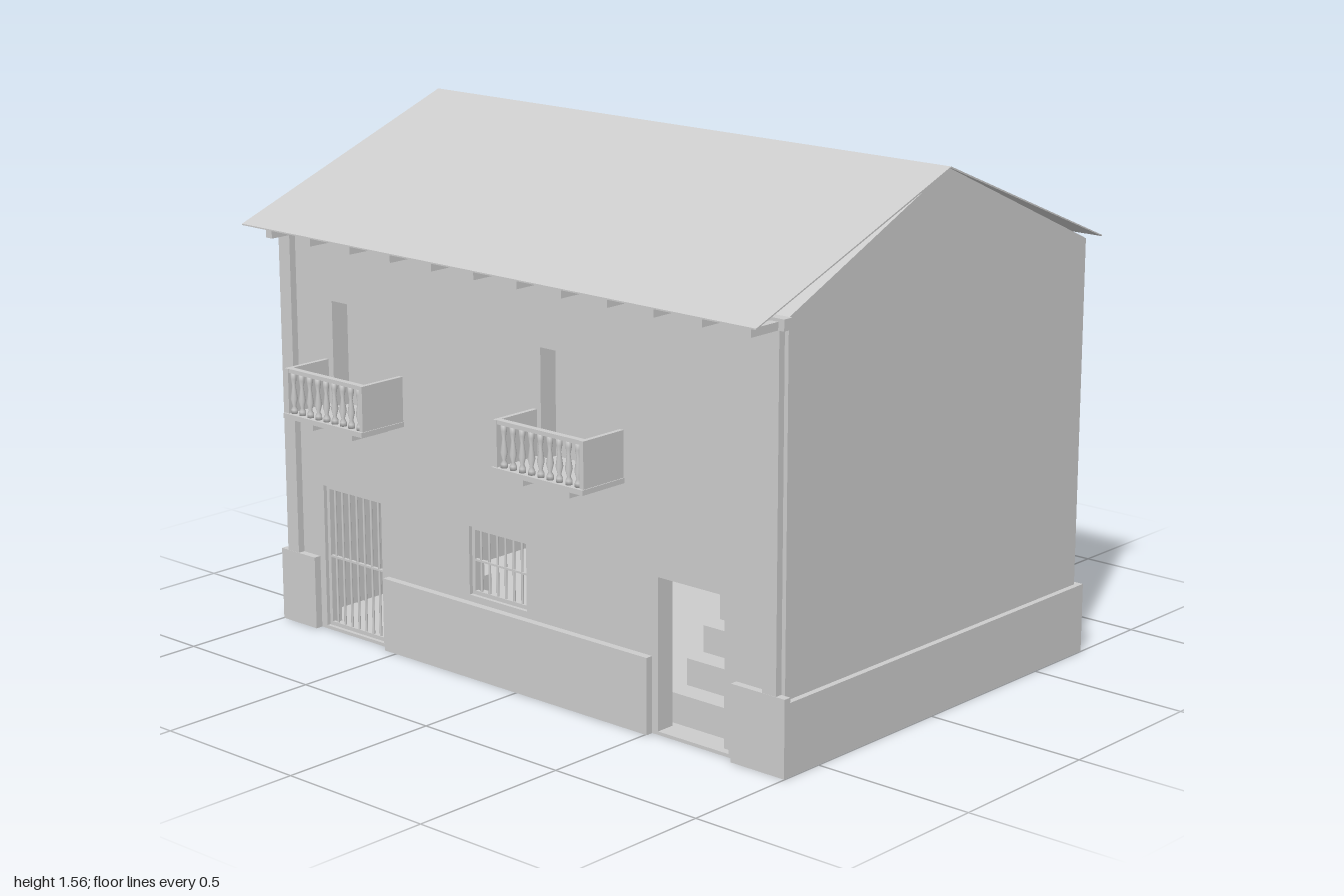
import * as THREE from 'three';

export function createModel() {
  const plaster = new THREE.MeshStandardMaterial({ color: 0xcccccc });
  plaster.name = 'light grey plaster';
  const house = new THREE.Group();
  house.name = 'house';

  const add = (name, geometry, parent = house) => {
    const mesh = new THREE.Mesh(geometry, plaster);
    mesh.name = name;
    parent.add(mesh);
    return mesh;
  };
  // Box given by its limits on each axis
  const box = (name, x0, x1, y0, y1, z0, z1, parent) => {
    const g = new THREE.BoxGeometry(x1 - x0, y1 - y0, z1 - z0);
    g.translate((x0 + x1) / 2, (y0 + y1) / 2, (z0 + z1) / 2);
    return add(name, g, parent);
  };
  const group = (name) => {
    const g = new THREE.Group();
    g.name = name;
    house.add(g);
    return g;
  };
  // Extrude a (z, y) profile along x
  const alongX = (name, profile, x0, x1) => {
    const shape = new THREE.Shape(profile.map(([z, y]) => new THREE.Vector2(-z, y)));
    const g = new THREE.ExtrudeGeometry(shape, { depth: x1 - x0, bevelEnabled: false });
    g.rotateY(Math.PI / 2);
    g.translate(x0, 0, 0);
    return add(name, g);
  };

  // Front wall with its five openings
  const openings = {
    leftDoor: [-0.826, -0.575, 0.01, 0.453],
    window: [-0.206, 0.024, 0.245, 0.453],
    stairDoor: [0.527, 0.783, 0.01, 0.457],
    balconyDoorA: [-0.767, -0.505, 0.705, 1.03],
    balconyDoorB: [0.088, 0.372, 0.705, 1.03],
  };
  const rectangle = (Type, x0, x1, y0, y1) => new Type([
    new THREE.Vector2(x0, y0), new THREE.Vector2(x1, y0),
    new THREE.Vector2(x1, y1), new THREE.Vector2(x0, y1),
  ]);
  const wallShape = rectangle(THREE.Shape, -0.92, 0.92, 0, 1.255);
  for (const o of Object.values(openings)) wallShape.holes.push(rectangle(THREE.Path, ...o));
  const wall = new THREE.ExtrudeGeometry(wallShape, { depth: 0.06, bevelEnabled: false });
  wall.translate(0, 0, 0.56);
  add('frontWall', wall);

  // Gable walls, back wall and floor
  const gable = [[0.62, 0], [0.62, 1.255], [-0.05, 1.553], [-0.715, 1.255], [-0.715, 0]];
  alongX('gableWallRight', gable, -0.98, -0.92);
  alongX('gableWallLeft', gable, 0.92, 0.98);
  box('backWall', -0.92, 0.92, 0, 1.255, -0.715, -0.655);
  box('floor', -0.92, 0.92, 0.004, 0.01, -0.655, 0.56);

  // Thin folded roof, overhanging front and back
  alongX('roof', [[0.76, 1.252], [-0.05, 1.557], [-0.785, 1.255],
    [-0.785, 1.251], [-0.05, 1.552], [0.76, 1.248]], -0.995, 0.988);

  // Plinth
  const plinth = group('plinth');
  for (const [a, b] of [[-0.998, -0.85], [-0.548, 0.505], [0.81, 0.998]])
    box('frontPlinth', a, b, 0, 0.225, 0.62, 0.643, plinth);
  for (const s of [-1, 1])
    box('sidePlinth', s < 0 ? -0.998 : 0.98, s < 0 ? -0.98 : 0.998, 0, 0.21, -0.735, 0.62, plinth);
  box('backPlinth', -0.98, 0.98, 0, 0.21, -0.735, -0.715, plinth);

  // Corner pilasters, cornice and eave rafters
  box('pilasterRight', -0.97, -0.922, 0.225, 1.225, 0.62, 0.642);
  box('pilasterLeft', 0.919, 0.967, 0.225, 1.225, 0.62, 0.642);
  box('cornice', -0.99, 0.988, 1.224, 1.256, 0.615, 0.648);
  const rafters = group('rafters');
  for (let i = 0; i < 12; i++) {
    const x = -0.882 + i * 0.167;
    box('rafter', x - 0.013, x + 0.013, 1.224, 1.247, 0.648, 0.755, rafters);
  }

  // Balconies with turned balusters and closed sides
  const baluster = new THREE.LatheGeometry([
    [0, 0], [0.01, 0], [0.01, 0.012], [0.005, 0.022], [0.011, 0.045],
    [0.005, 0.085], [0.009, 0.105], [0.009, 0.125], [0, 0.125],
  ].map(([r, y]) => new THREE.Vector2(r, y)), 10);
  const balcony = (x0, x1, door, brackets) => {
    const g = group('balcony');
    box('balconySlab', x0, x1, 0.7, 0.715, 0.62, 0.787, g);
    for (const x of [x0 + 0.003, x1 - 0.017])
      box('sidePanel', x, x + 0.014, 0.715, 0.85, 0.62, 0.78, g);
    box('handrail', x0 + 0.017, x1 - 0.017, 0.838, 0.85, 0.758, 0.778, g);
    for (let i = 0; i < 9; i++) {
      const mid = (x0 + x1) / 2;
      add('baluster', baluster, g).position.set(mid + (i - 4) * 0.0352, 0.715, 0.768);
    }
    for (const x of brackets)
      box('bracket', x - 0.011, x + 0.011, 0.672, 0.7, 0.62, 0.76, g);
    box('closedDoor', door[0], door[1], door[2], door[3], 0.55, 0.56, g);
  };
  balcony(-0.805, -0.468, openings.balconyDoorA, [-0.719, -0.551]);
  balcony(0.056, 0.404, openings.balconyDoorB, [0.142, 0.318]);

  // Barred grilles in the left door and the window
  const grille = (name, [x0, x1, y0, y1], count, railY) => {
    const g = group(name);
    const z0 = 0.598, z1 = 0.608, f = 0.012;
    box('frame', x0, x0 + f, y0, y1, z0, z1, g);
    box('frame', x1 - f, x1, y0, y1, z0, z1, g);
    box('frame', x0 + f, x1 - f, y0, y0 + f, z0, z1, g);
    box('frame', x0 + f, x1 - f, y1 - f, y1, z0, z1, g);
    box('crossBar', x0 + f, x1 - f, railY - 0.003, railY + 0.003, z0, z1, g);
    const rod = new THREE.CylinderGeometry(0.004, 0.004, y1 - y0, 8);
    for (let i = 1; i <= count; i++)
      add('bar', rod, g).position.set(
        x0 + (x1 - x0) * i / (count + 1), (y0 + y1) / 2, (z0 + z1) / 2);
  };
  grille('doorGrille', openings.leftDoor, 7, 0.23);
  grille('windowGrille', openings.window, 6, 0.35);
  box('innerStep', -0.72, -0.54, 0.01, 0.135, 0.2, 0.45);

  // Staircase behind the right door, its side wall and the open door leaf
  const stairs = group('stairs');
  for (let i = 0; i < 8; i++)
    box('step', 0.5, 0.712, 0.01, 0.02 + (i + 1) * 0.079,
      0.47 - i * 0.07, 0.54 - i * 0.07, stairs);
  box('stairWall', 0.712, 0.742, 0.01, 0.66, -0.02, 0.5, stairs);
  box('openDoorLeaf', 0.75, 0.775, 0.012, 0.453, 0.36, 0.6);

  return house;
}
